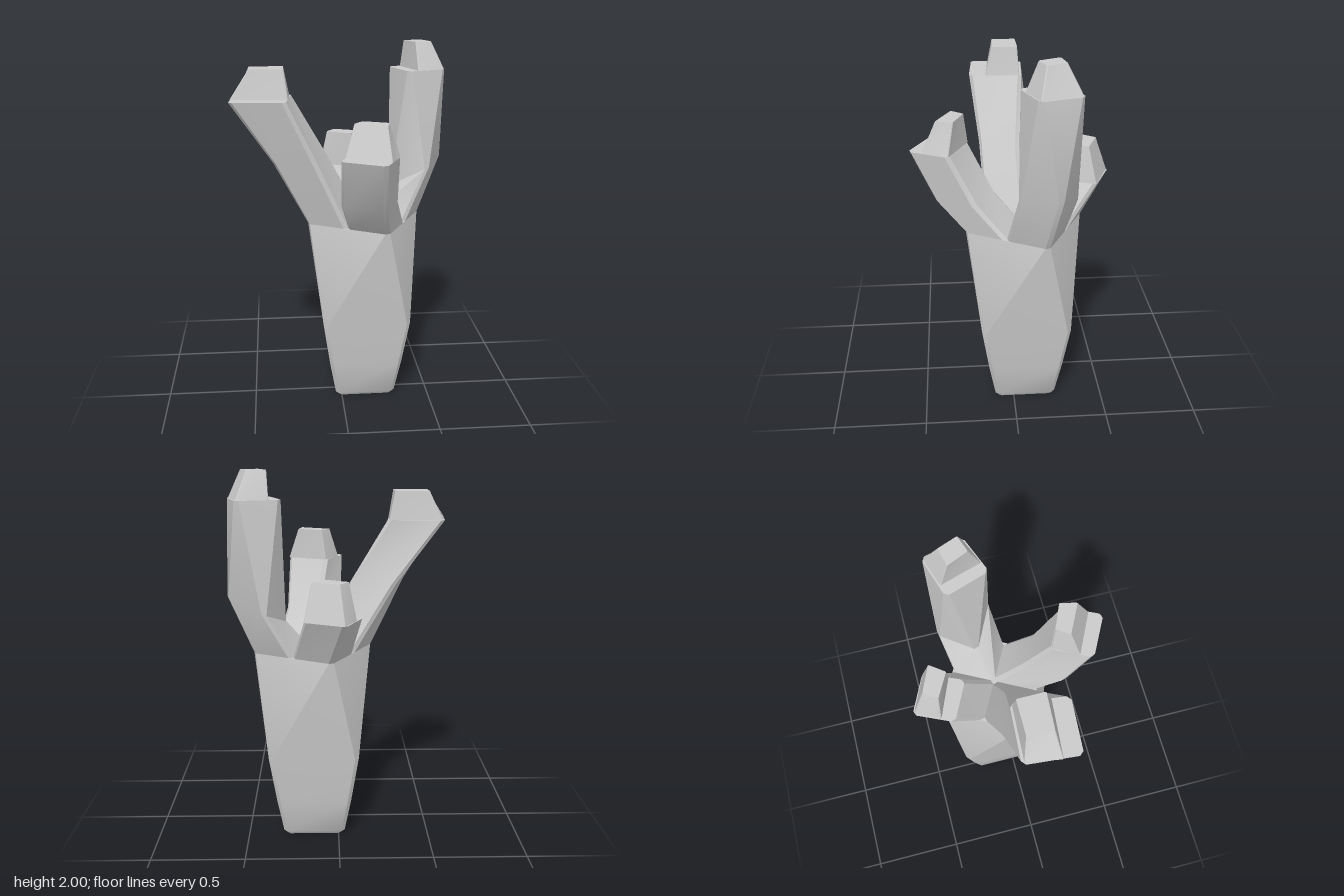
import * as THREE from 'three';
import { toCreasedNormals } from 'three/addons/utils/BufferGeometryUtils.js';

const material = new THREE.MeshStandardMaterial({ color: 0xcccccc });

// Cuts each corner of a ring into two points, d away along both edges
function chamfer(ring, d) {
  const pts = ring.map(p => new THREE.Vector3(...p));
  const n = pts.length;
  return pts.flatMap((p, i) => [pts[(i + n - 1) % n], pts[(i + 1) % n]].map(q =>
    p.clone().add(q.clone().sub(p).setLength(d))));
}

// Skins rings of equal length (counter-clockwise from above) from bottom to top
function loft(name, rings, d, closeBottom = false) {
  const loops = rings.map(r => chamfer(r, d));
  const n = loops[0].length, pos = [];
  const tri = (...v) => v.forEach(p => pos.push(p.x, p.y, p.z));
  for (let k = 0; k + 1 < loops.length; k++) {
    const a = loops[k], b = loops[k + 1];
    for (let i = 0; i < n; i++) {
      const j = (i + 1) % n;
      tri(a[i], a[j], b[j]);
      tri(a[i], b[j], b[i]);
    }
  }
  const top = loops[loops.length - 1], bottom = loops[0];
  for (let i = 1; i + 1 < n; i++) {
    tri(top[0], top[i], top[i + 1]);
    if (closeBottom) tri(bottom[0], bottom[i + 1], bottom[i]);
  }
  const geometry = new THREE.BufferGeometry();
  geometry.setAttribute('position', new THREE.Float32BufferAttribute(pos, 3));
  const mesh = new THREE.Mesh(toCreasedNormals(geometry, 0.5), material);
  mesh.name = name;
  return mesh;
}

// Horizontal ring from [x, z] corners, or [x, z, y] where a corner leaves the level
const level = (y, pts) => pts.map(([x, z, h = y]) => [x, h, z]);

export function createModel() {
  const group = new THREE.Group();
  group.name = 'branchingStump';
  const cx = 0.135, cz = -0.065, forkY = 1.04;

  // Trunk: square section that widens, then twists towards the fork
  const square = (y, h, turn = 0) => [0, 1, 2, 3].map(i => {
    const a = turn + Math.PI * (0.75 - i / 2);
    const r = h * Math.SQRT2;
    return [cx + r * Math.cos(a), y, cz + r * Math.sin(a)];
  });
  const fork = square(forkY, 0.2405, 0.489);
  group.add(loft('trunk', [
    square(0, 0.155), square(0.02, 0.17), square(0.22, 0.205), square(0.48, 0.243), fork,
  ], 0.02, true));

  // Each branch starts on one quarter of the fork: centre, side, outer corner, side
  const middle = (a, b) => a.map((v, i) => (v + b[i]) / 2);
  const quarter = i => [
    [cx, forkY, cz],
    middle(fork[(i + 3) % 4], fork[i]),
    fork[i],
    middle(fork[i], fork[(i + 1) % 4]),
  ];
  // Fork corners run: left side (-x), front, right side (+x), back
  const branches = [
    {
      name: 'rightBranch',
      rings: [
        level(1.4, [[-0.06, -0.05], [-0.3, -0.135], [-0.37, 0.11], [-0.14, 0.165]]),
        level(1.735, [[-0.26, -0.08], [-0.56, -0.1], [-0.585, 0.185], [-0.295, 0.205]]),
      ],
      tip: [
        level(1.735, [[-0.27, -0.07], [-0.55, -0.085], [-0.58, 0.09], [-0.28, 0.115]]),
        level(1.885, [[-0.3, -0.06], [-0.48, -0.06], [-0.48, 0.07], [-0.3, 0.08]]),
      ],
    },
    {
      name: 'frontBranch',
      rings: [
        level(1.21, [[0.11, 0.08], [-0.03, 0.29], [0.2, 0.41], [0.29, 0.2]]),
        level(1.48, [[0.06, 0.22], [-0.04, 0.42], [0.18, 0.535], [0.278, 0.33]]),
      ],
      tip: [
        level(1.48, [[0.065, 0.225], [-0.01, 0.355], [0.215, 0.465], [0.275, 0.33]]),
        level(1.645, [[0.09, 0.245], [0.04, 0.31], [0.2, 0.39], [0.22, 0.3]]),
      ],
    },
    {
      name: 'leftBranch',
      rings: [
        level(1.36, [[0.27, -0.12, 1.2], [0.48, 0, 1.33], [0.588, -0.21], [0.38, -0.32, 1.28]]),
        level(1.855, [[0.285, -0.245], [0.365, -0.015], [0.578, -0.095], [0.515, -0.315]]),
      ],
      tip: [
        level(1.855, [[0.35, -0.255], [0.42, -0.04], [0.57, -0.1], [0.51, -0.305]]),
        level(2, [[0.36, -0.21], [0.41, -0.1], [0.5, -0.13], [0.46, -0.23]]),
      ],
    },
    {
      name: 'backBranch',
      rings: [
        level(1.27, [[0.09, -0.23], [0.185, -0.44], [-0.03, -0.54], [-0.125, -0.335]]),
      ],
      tip: [
        level(1.27, [[0.13, -0.31], [0.18, -0.44], [-0.025, -0.53], [-0.09, -0.4]]),
        level(1.465, [[0.08, -0.32], [0.14, -0.4], [0, -0.46], [-0.05, -0.39]]),
      ],
    },
  ];

  // The quarter's ring is rotated so that it runs counter-clockwise from the centre
  branches.forEach(({ name, rings, tip }, i) => {
    group.add(loft(name, [quarter(i), ...rings], 0.02));
    group.add(loft(name + 'Tip', tip, 0.004));
  });
  return group;
}
